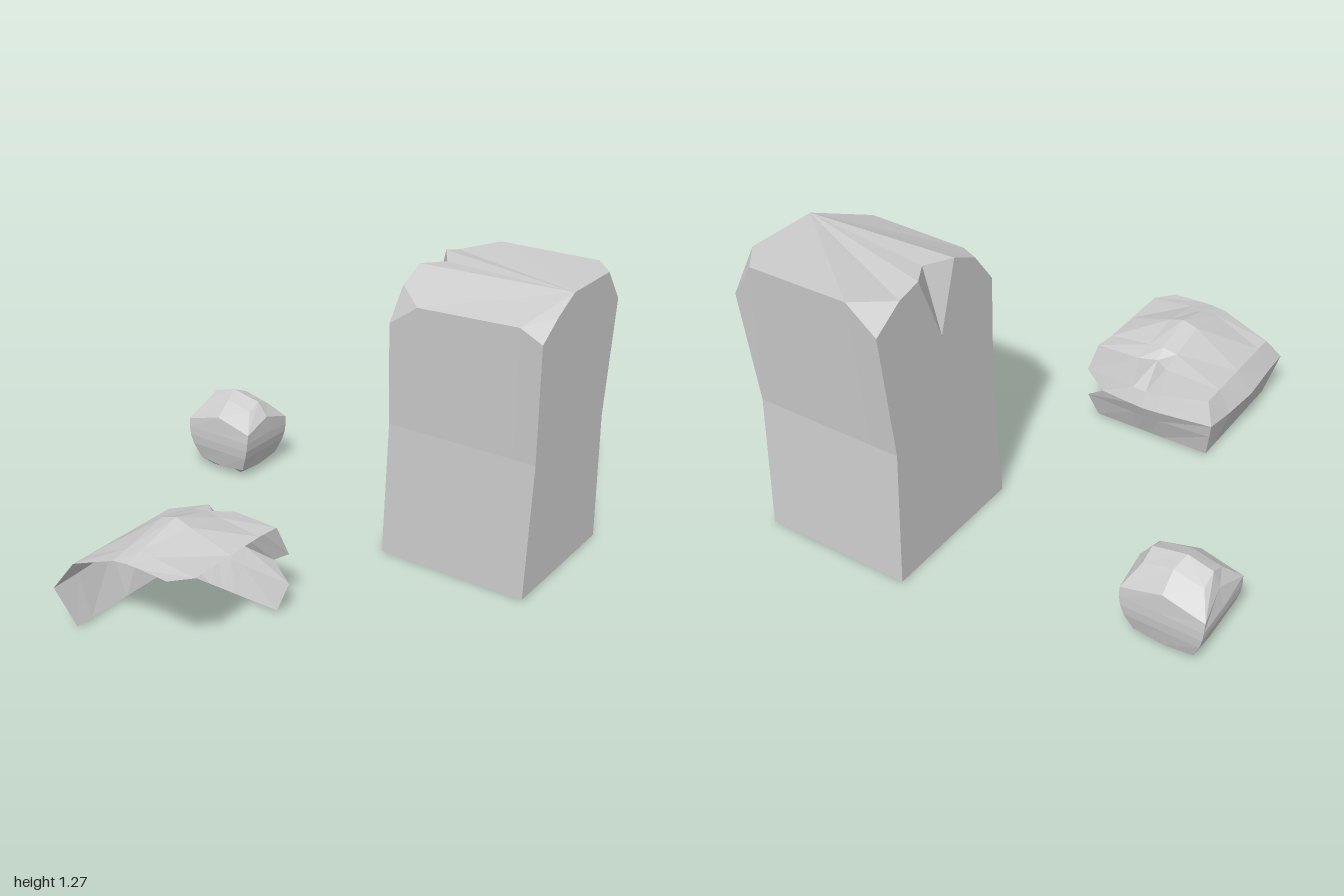
import * as THREE from 'three';

const stone = (side = THREE.FrontSide) =>
  new THREE.MeshStandardMaterial({ color: 0xcccccc, flatShading: true, side });

// Faceted mesh from points and polygons (each polygon is fanned from its first corner)
function facets(name, points, polygons, side) {
  const index = [];
  for (const p of polygons)
    for (let i = 1; i < p.length - 1; i++) index.push(p[0], p[i], p[i + 1]);
  const geometry = new THREE.BufferGeometry();
  geometry.setAttribute('position', new THREE.Float32BufferAttribute(points.flat(), 3));
  geometry.setIndex(index);
  const flat = geometry.toNonIndexed();
  flat.computeVertexNormals();
  const mesh = new THREE.Mesh(flat, stone(side));
  mesh.name = name;
  return mesh;
}

// Quads between successive sections of n points each
function loft(sections, n, closed) {
  const quads = [];
  for (let s = 0; s < sections - 1; s++)
    for (let i = 0; i < (closed ? n : n - 1); i++) {
      const j = (i + 1) % n, a = s * n, b = a + n;
      quads.push([a + i, a + j, b + j, b + i]);
    }
  return quads;
}

// Tall waisted block with chipped top corners and a notch in its back edge
function pillar() {
  const rim = [
    [0.31, 1.13, 0.97], [0.43, 1.21, 0.97], [0.56, 1.275, 0.97], [0.88, 1.275, 0.97],
    [1, 1.13, 0.97], [1, 1.275, 0.87], [1, 1.275, 0.41], [1, 1.165, 0.28],
    [0.86, 1.25, 0.28], [0.75, 1.275, 0.28], [0.64, 0.98, 0.28], [0.535, 1.27, 0.28],
    [0.41, 1.21, 0.28], [0.31, 1.07, 0.28], [0.31, 1.165, 0.41], [0.31, 1.18, 0.87],
  ];
  const n = rim.length;
  const foot = rim.map(([x, , z]) => [x, 0, z]);
  const waist = rim.map(([x, , z]) => [0.645 + (x - 0.655) * 0.9, 0.61, z]);
  const top = [
    [2, 3, 5, 6, 8, 9, 16, 11],                       // flat top
    [2, 11, 12, 14, 15, 1],                           // slope on one side
    [15, 0, 1], [3, 4, 5], [6, 7, 8], [12, 13, 14],   // chipped corners
    [9, 10, 16], [16, 10, 11],                        // notch
  ].map(p => p.map(i => i + 2 * n));
  const bottom = [0, 13, 7, 4];
  return facets('tallRock', [...foot, ...waist, ...rim, [0.64, 1.265, 0.35]],
    [...loft(3, n, true), ...top, bottom]);
}

// Thin open shell: domed roof, back wall and one side wall
function shell() {
  const group = new THREE.Group();
  group.name = 'brokenRockShell';
  // x, dome rise, x of the flare, z of the flare, z of the front edge
  const columns = [
    [-0.37, 0, -0.33, -0.40, 0.21], [-0.47, 0.025, -0.47, -0.42, 0.2],
    [-0.65, 0.075, -0.65, -0.435, 0.2], [-0.86, 0.02, -0.86, -0.42, 0.2],
    [-0.94, 0, -1, -0.415, 0.13],
  ];
  const sections = columns.map(([x, r, fx, fz, front]) => [
    [x, 0.395, front], [x, 0.4 + r * 0.7, 0], [x, 0.4 + r, -0.07], [x, 0.39 + r * 0.85, -0.14],
    [x, 0.3, -0.36], [fx, 0.2, fz], [x, 0.01, -0.36],
  ]);
  sections[0][2] = [-0.42, 0.385, -0.07];   // small dent in the roof edge
  group.add(facets('roofAndBackWall', sections.flat(), loft(5, 7, false), THREE.DoubleSide));

  // Side wall, bottom to top, with a notched front edge
  const row = (y, front, back, xs) =>
    [front, 0, -0.07, -0.14, back].map((z, i) => [xs[i], y, z]);
  const wall = [
    row(0.01, 0.21, -0.36, [-0.37, -0.37, -0.37, -0.37, -0.37]),
    row(0.13, 0.245, -0.386, [-0.335, -0.325, -0.32, -0.325, -0.344]),
    row(0.2, 0.15, -0.4, [-0.31, -0.295, -0.29, -0.295, -0.33]),
    row(0.27, 0.245, -0.372, [-0.335, -0.325, -0.32, -0.325, -0.358]),
    sections[0].slice(0, 5),
  ];
  group.add(facets('sideWall', wall.flat(), loft(5, 5, false), THREE.DoubleSide));
  return group;
}

// Small boxy boulder from eight-sided sections
function boulder() {
  const cx = 0.635, cz = -0.787;
  const plan = [[-1, 1], [0, 1], [1, 1], [1, 0], [1, -1], [0, -1], [-1, -1], [-1, 0]];
  // corner y, edge-middle y, half width, half depth
  const levels = [
    [0.005, 0.02, 0.09, 0.085], [0.045, 0.03, 0.13, 0.13], [0.12, 0.12, 0.15, 0.162],
    [0.165, 0.165, 0.155, 0.175], [0.205, 0.21, 0.155, 0.18], [0.25, 0.3, 0.15, 0.182],
    [0.335, 0.365, 0.07, 0.13],
  ];
  const points = levels.flatMap(([yc, ym, hx, hz]) =>
    plan.map(([u, v]) => [cx + u * hx, u * v ? yc : ym, cz + v * hz]));
  points[5 * 8 + 5][2] += 0.025;   // chip in the back edge
  const base = points.push([cx, 0.025, cz]) - 1;
  const peak = points.push([cx, 0.395, cz - 0.02]) - 1;
  const faces = loft(levels.length, 8, true);
  for (let i = 0; i < 8; i++) {
    const j = (i + 1) % 8, t = (levels.length - 1) * 8;
    faces.push([base, j, i], [peak, t + i, t + j]);
  }
  return facets('smallRock', points, faces);
}

export function createModel() {
  const model = new THREE.Group();
  model.name = 'rocks';
  model.add(pillar(), shell(), boulder());
  return model;
}
